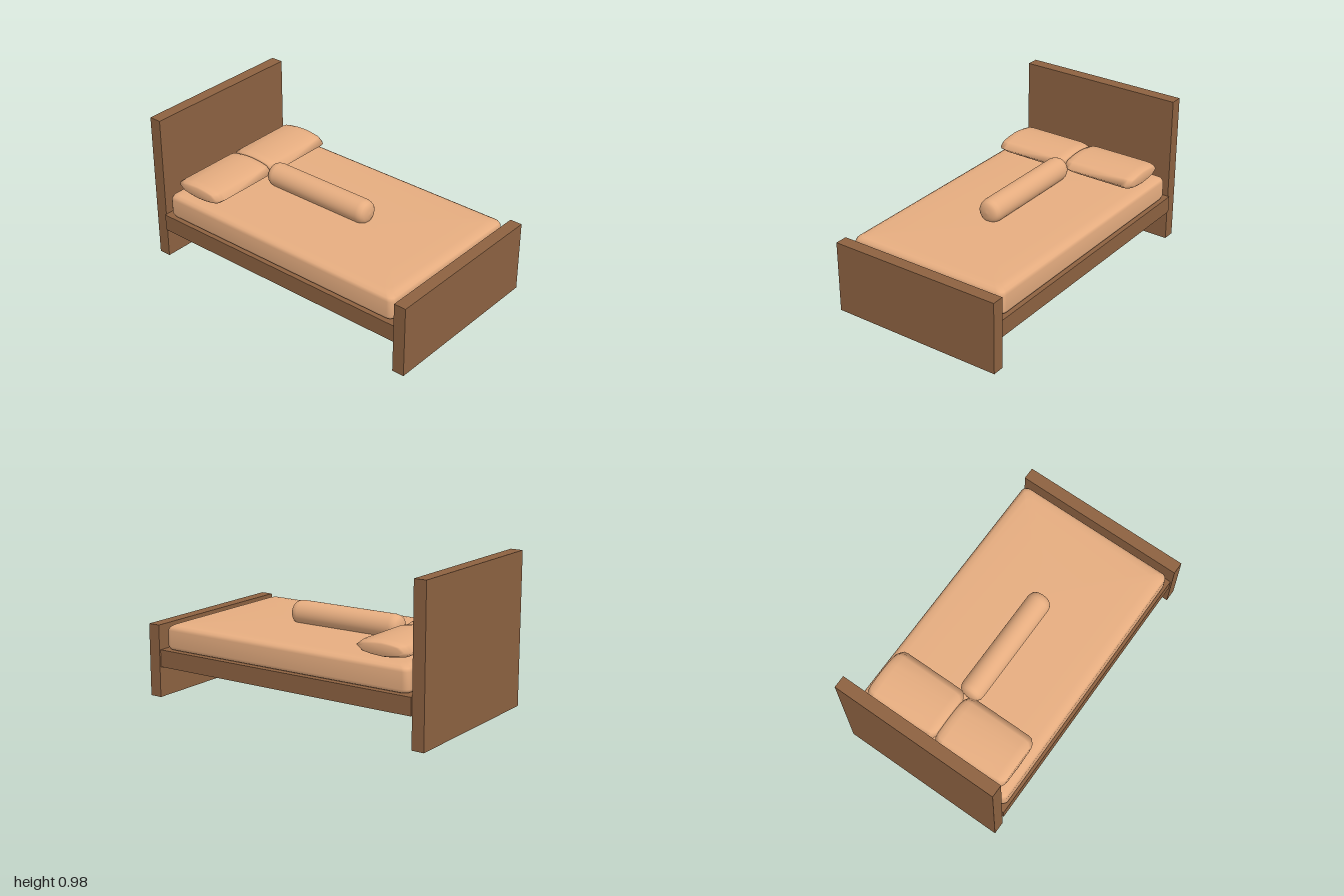
import * as THREE from 'three';

const wood = new THREE.MeshStandardMaterial({ color: 0x8d6241 });
const fabric = new THREE.MeshStandardMaterial({ color: 0xe6ad80 });

function add(group, name, geometry, material, x, y, z) {
  const mesh = new THREE.Mesh(geometry, material);
  mesh.name = name;
  mesh.position.set(x, y, z);
  group.add(mesh);
}

// Smooth skin over rings that run counterclockwise about the direction of travel
function loft(rings) {
  const n = rings[0].length;
  const index = [];
  for (let s = 1; s < rings.length; s++) {
    for (let i = 0; i < n; i++) {
      const j = (i + 1) % n;
      const a = (s - 1) * n + i, b = (s - 1) * n + j, c = s * n + i, d = s * n + j;
      index.push(a, b, c, b, d, c);
    }
  }
  const geometry = new THREE.BufferGeometry();
  geometry.setAttribute('position', new THREE.Float32BufferAttribute(rings.flat(2), 3));
  geometry.setIndex(index);
  geometry.computeVertexNormals();
  return geometry;
}

// Cushion with a lens-shaped section, lofted along x and closed at both ends
function pillowGeometry(width) {
  const half = [[-0.188, 0], [-0.145, 0.034], [-0.07, 0.046], [0, 0.051], [0.07, 0.046], [0.145, 0.034]];
  const section = [...half, ...half.map(([z, y]) => [-z, -y])];
  // [inset from the end, depth scale, height scale]
  const end = [[0, 0, 0], [0, 0.74, 0.6], [0.008, 0.83, 0.78], [0.03, 0.97, 0.93], [0.06, 1, 1]];
  const stations = [
    ...end.map(([i, d, h]) => [-width / 2 + i, d, h]),
    ...end.slice().reverse().map(([i, d, h]) => [width / 2 - i, d, h]),
  ];
  return loft(stations.map(([x, d, h]) => section.map(([z, y]) => [x, y * h, z * d])));
}

// Rounded rectangle in the ground plane at height y
function outline(halfWidth, halfDepth, y) {
  const r = Math.min(0.04, halfWidth);
  const points = [];
  [[1, 1], [1, -1], [-1, -1], [-1, 1]].forEach(([sx, sz], k) => {
    for (let j = 0; j <= 4; j++) {
      const angle = (k + j / 4) * Math.PI / 2;
      points.push([
        sx * (halfWidth - r) + r * Math.sin(angle), y,
        sz * (halfDepth - r) + r * Math.cos(angle),
      ]);
    }
  });
  return points;
}

// Soft-edged slab with a slight crown
function mattressGeometry() {
  // [inset, height] from the middle of the underside to the middle of the top
  const profile = [
    [0.55, 0.308], [0.03, 0.308], [0.009, 0.318], [0, 0.338], [0, 0.438], [0.009, 0.457],
    [0.03, 0.469], [0.07, 0.474], [0.2, 0.477], [0.4, 0.479], [0.55, 0.479],
  ];
  return loft(profile.map(([inset, y]) => outline(0.55 - inset, 0.8875 - inset, y)));
}

// Cylindrical cushion with softly domed ends, lying along z
function bolsterGeometry(length, radius) {
  const end = [[0, 0], [0.003, 0.03], [0.01, 0.052], [0.021, 0.066], [0.038, 0.074], [0.06, radius]];
  const profile = [
    ...end.map(([i, r]) => new THREE.Vector2(r, -length / 2 + i)),
    ...end.slice().reverse().map(([i, r]) => new THREE.Vector2(r, length / 2 - i)),
  ];
  return new THREE.LatheGeometry(profile, 40).rotateX(Math.PI / 2);
}

export function createModel() {
  const bed = new THREE.Group();
  bed.name = 'bed';

  // Wooden boards and base
  add(bed, 'headboard', new THREE.BoxGeometry(1.11, 0.975, 0.08), wood, 0, 0.4875, -0.96);
  add(bed, 'footboard', new THREE.BoxGeometry(1.15, 0.465, 0.08), wood, 0, 0.2375, 0.96);
  add(bed, 'bedBase', new THREE.BoxGeometry(1.13, 0.11, 1.84), wood, 0, 0.255, 0);

  add(bed, 'mattress', mattressGeometry(), fabric, 0, 0, 0);

  // Pair of pillows and the bolster
  const pillow = pillowGeometry(0.506);
  add(bed, 'leftPillow', pillow, fabric, 0.256, 0.534, -0.678);
  add(bed, 'rightPillow', pillow, fabric, -0.251, 0.534, -0.678);
  add(bed, 'bolster', bolsterGeometry(0.795, 0.078), fabric, -0.006, 0.534, -0.105);

  return bed;
}
